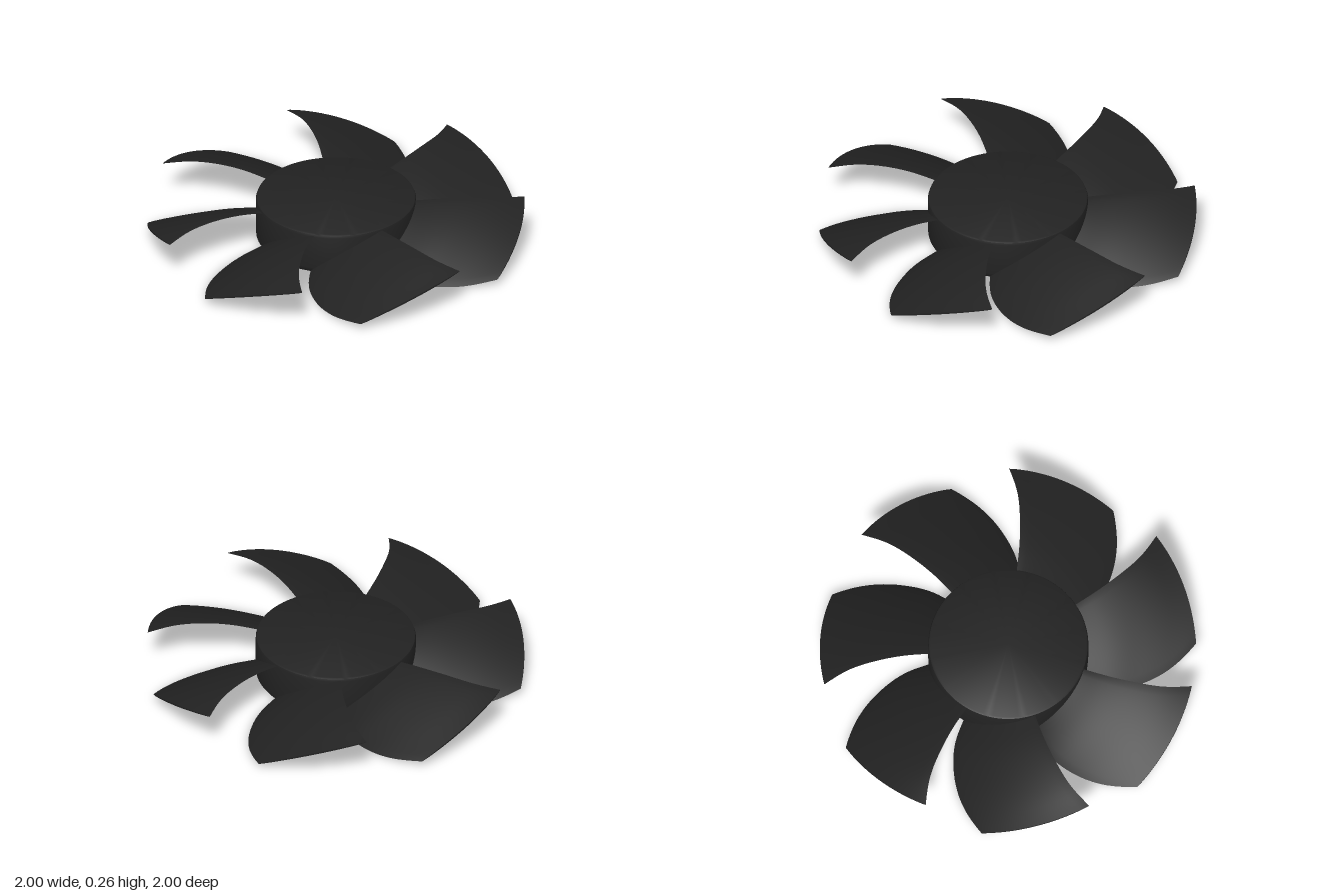
import * as THREE from 'three';
import { mergeGeometries, toCreasedNormals } from 'three/addons/utils/BufferGeometryUtils.js';

const BLADES = 7;

// Grid surface from fn(u, v, target); front side faces dv x du
function sheet(fn, nu, nv) {
  const pos = [], index = [], p = new THREE.Vector3();
  for (let j = 0; j <= nv; j++) {
    for (let i = 0; i <= nu; i++) {
      fn(i / nu, j / nv, p);
      pos.push(p.x, p.y, p.z);
    }
  }
  for (let j = 0; j < nv; j++) {
    for (let i = 0; i < nu; i++) {
      const a = j * (nu + 1) + i, b = a + nu + 1;
      index.push(a, b, a + 1, b, b + 1, a + 1);
    }
  }
  const g = new THREE.BufferGeometry();
  g.setAttribute('position', new THREE.Float32BufferAttribute(pos, 3));
  g.setIndex(index);
  g.computeVertexNormals();
  return g;
}

// Blade edge as a curve through (radius, angle in degrees, height)
function edge(points) {
  const list = points.map((p) => new THREE.Vector3(...p));
  return new THREE.CatmullRomCurve3(list, false, 'catmullrom', 0.5);
}

function bladeGeometry() {
  const low = edge([[0.40, 129.5, 0.03], [0.55, 125.5, 0.01], [0.70, 119, 0.002], [0.85, 111.5, 0.012], [1, 102.8, 0.04]]);
  const high = edge([[0.40, 75, 0.24], [0.55, 75, 0.256], [0.70, 74, 0.26], [0.85, 72.3, 0.25], [1, 69.2, 0.228]]);
  const a = new THREE.Vector3(), b = new THREE.Vector3();

  // side: +1 upper skin, -1 lower skin
  const skin = (u, v, side, out) => {
    low.getPoint(v, a);
    high.getPoint(v, b);
    const angle = THREE.MathUtils.degToRad(THREE.MathUtils.lerp(a.y, b.y, u));
    const bulge = 4 * u * (1 - u);
    const half = 0.011 * (1 - 0.55 * v) * Math.sqrt(bulge);
    const y = THREE.MathUtils.lerp(a.z, b.z, u) + 0.02 * bulge + side * half;
    out.set(a.x * Math.cos(angle), y, a.x * Math.sin(angle));
  };

  return mergeGeometries([
    sheet((u, v, p) => skin(u, v, 1, p), 24, 20),
    sheet((u, v, p) => skin(1 - u, v, -1, p), 24, 20),
    sheet((u, v, p) => skin(u, 1, 1 - 2 * v, p), 24, 1), // tip face
  ]);
}

export function createModel() {
  const group = new THREE.Group();
  group.name = 'fanRotor';
  const black = new THREE.MeshStandardMaterial({ color: 0x222222 });
  black.name = 'matte black';

  // Solid hub with softened rims
  const profile = [
    [0, 0.015], [0.395, 0.015], [0.412, 0.02], [0.423, 0.035],
    [0.425, 0.05], [0.425, 0.238], [0.421, 0.25], [0.412, 0.255], [0, 0.255],
  ].map(([r, y]) => new THREE.Vector2(r, y));
  const hub = new THREE.Mesh(toCreasedNormals(new THREE.LatheGeometry(profile, 96), 0.6), black);
  hub.name = 'hub';
  group.add(hub);

  // Ring of swept blades
  const geometry = bladeGeometry();
  for (let i = 0; i < BLADES; i++) {
    const blade = new THREE.Mesh(geometry, black);
    blade.name = `blade${i + 1}`;
    blade.rotation.y = (i * Math.PI * 2) / BLADES;
    group.add(blade);
  }
  return group;
}
